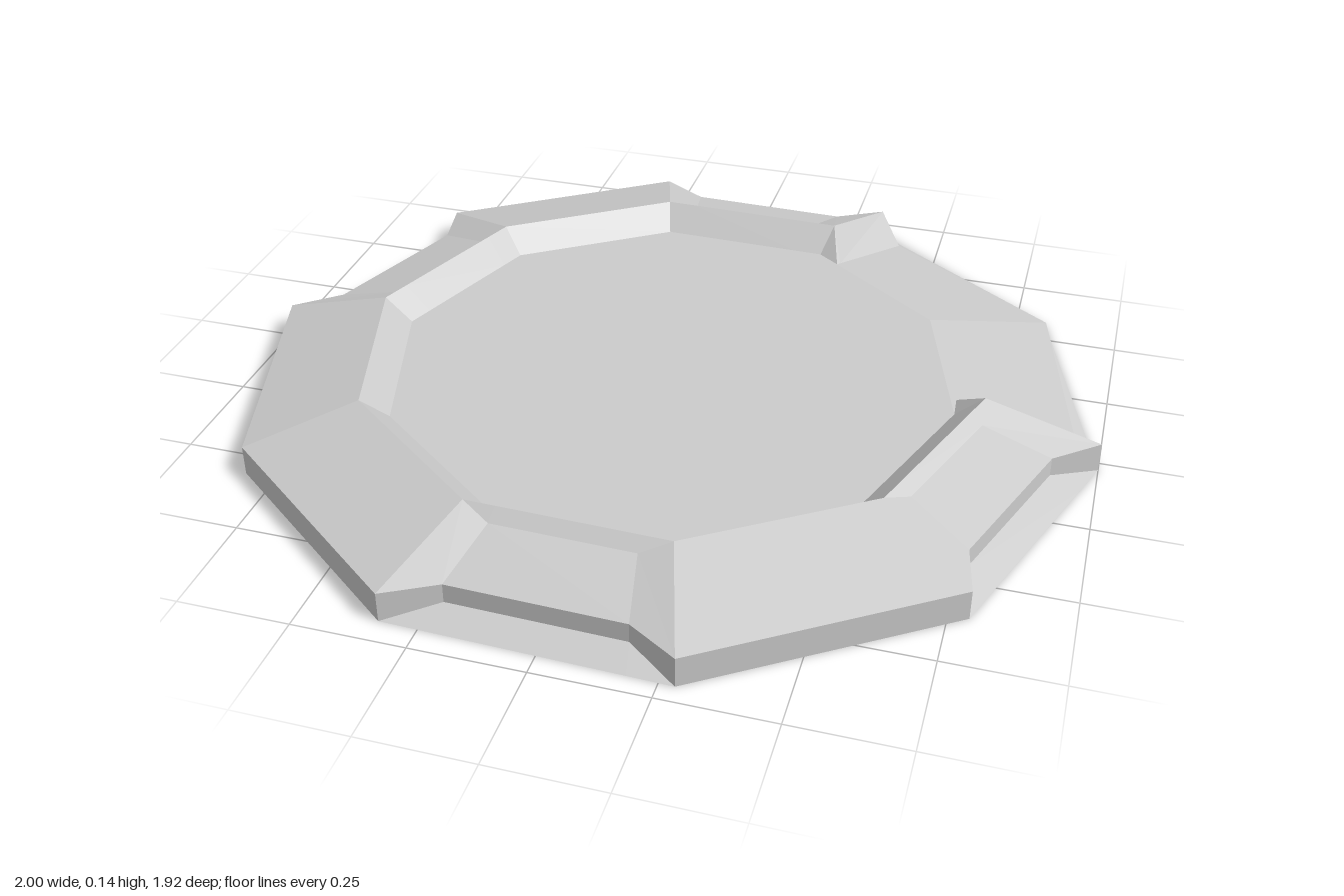
import * as THREE from 'three';

const SIDES = 10;
const START = 0.027; // slight twist of the decagon
const FLOOR = [0.67, 0.083];

// Cross-sections as [radius, height], from the outer foot to the floor edge
const RIM = [[1, 0], [1, 0], [1, 0.07], [0.735, 0.14], [0.735, 0.14], FLOOR];
const NOTCH = [[1, 0], [0.93, 0.025], [0.93, 0.07], [0.765, 0.115], [0.735, 0.14], FLOOR];
const SPOUT_END = [[1, 0], [0.965, 0.02], [0.965, 0.02], [0.685, 0.08], [0.685, 0.08], FLOOR];
const SPOUT_MID = [[1, 0], [1, 0.012], [1, 0.012], [0.685, 0.08], [0.685, 0.08], FLOOR];

// Point on side i, a fraction t along it
function point(i, t, [r, y]) {
  const corner = (k) => {
    const a = START + (k / SIDES) * Math.PI * 2;
    return new THREE.Vector3(Math.cos(a) * r, y, Math.sin(a) * r);
  };
  return corner(i).lerp(corner(i + 1), t);
}

const column = (i, t, profile) => profile.map((p) => point(i, t, p));

function addTriangle(out, a, b, c) {
  const area = b.clone().sub(a).cross(c.clone().sub(a)).length();
  if (area > 1e-6) out.push(a, b, c);
}

// Skin a row of columns
function skin(columns) {
  const out = [];
  for (let c = 0; c + 1 < columns.length; c++) {
    const A = columns[c], B = columns[c + 1];
    for (let k = 0; k + 1 < A.length; k++) {
      addTriangle(out, A[k], A[k + 1], B[k + 1]);
      addTriangle(out, A[k], B[k + 1], B[k]);
    }
  }
  return out;
}

export function createModel() {
  const group = new THREE.Group();
  const material = new THREE.MeshStandardMaterial({
    color: 0xcccccc, flatShading: true, side: THREE.DoubleSide,
  });
  const add = (name, points) => {
    const geometry = new THREE.BufferGeometry().setFromPoints(points);
    geometry.computeVertexNormals();
    const mesh = new THREE.Mesh(geometry, material);
    mesh.name = name;
    group.add(mesh);
  };

  // Plain rim sides
  for (const i of [1, 3, 4, 6]) {
    add('rimSegment', skin([column(i, 0, RIM), column(i, 1, RIM)]));
  }

  // Rim sides with a pressed-in recess
  for (const i of [0, 2, 5, 7]) {
    add('notchedRimSegment', skin([
      column(i, 0, RIM), column(i, 0.16, NOTCH), column(i, 0.84, NOTCH), column(i, 1, RIM),
    ]));
  }

  // Lowered two-side spout sloping down from the floor
  add('spout', skin([
    column(8, 0, RIM), column(8, 0.16, SPOUT_END), column(8, 1, SPOUT_MID),
    column(9, 0.84, SPOUT_END), column(9, 1, RIM),
  ]));

  // Flat floor
  const floor = [];
  const centre = new THREE.Vector3(0, FLOOR[1], 0);
  for (let i = 0; i < SIDES; i++) {
    addTriangle(floor, centre, point(i, 1, FLOOR), point(i, 0, FLOOR));
  }
  add('floor', floor);

  return group;
}
